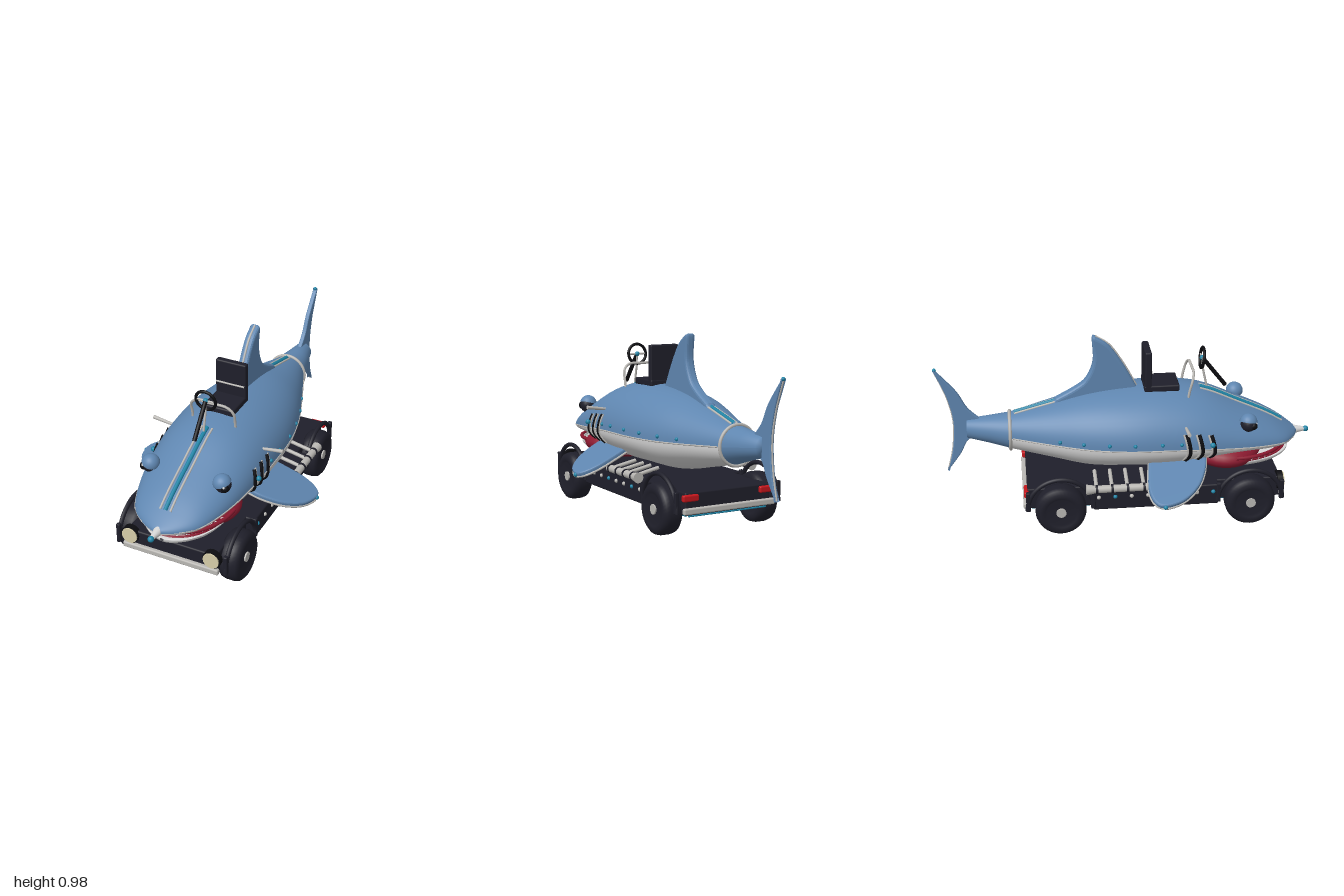
import * as THREE from 'three';
import { RoundedBoxGeometry } from 'three/addons/geometries/RoundedBoxGeometry.js';

const mat = (name, color, side = THREE.FrontSide) => {
  const m = new THREE.MeshStandardMaterial({ color, side });
  m.name = name;
  return m;
};
const V = (x, y, z) => new THREE.Vector3(x, y, z);

// body sections: z, half width, waterline y, height above, depth below
const BODY = [
  [0.93, 0.015, 0.385, 0.012, 0.012], [0.9, 0.085, 0.388, 0.03, 0.025], [0.84, 0.165, 0.395, 0.062, 0.04],
  [0.75, 0.215, 0.405, 0.105, 0.055], [0.6, 0.26, 0.42, 0.16, 0.07], [0.4, 0.288, 0.435, 0.232, 0.12],
  [0.2, 0.297, 0.445, 0.25, 0.165], [0, 0.29, 0.445, 0.245, 0.165], [-0.2, 0.25, 0.445, 0.22, 0.165],
  [-0.4, 0.18, 0.45, 0.165, 0.13], [-0.61, 0.1, 0.46, 0.1, 0.095],
];
const TAIL = [[-0.61, 0.1, 0.46, 0.1, 0.095], [-0.72, 0.074, 0.472, 0.076, 0.072],
  [-0.84, 0.048, 0.485, 0.052, 0.052], [-0.842, 0.001, 0.485, 0.001, 0.001]];
const JAW = [[0.885, 0.01, 0.315, 0.005, 0.01], [0.865, 0.07, 0.315, 0.006, 0.03], [0.82, 0.13, 0.315, 0.008, 0.042],
  [0.74, 0.18, 0.313, 0.008, 0.058], [0.62, 0.208, 0.31, 0.008, 0.064], [0.48, 0.21, 0.31, 0.01, 0.06],
  [0.36, 0.15, 0.31, 0.01, 0.04]];

// smooth interpolation between sections
function refine(secs, steps) {
  const out = [], at = (i) => secs[Math.min(secs.length - 1, Math.max(0, i))];
  for (let i = 0; i < secs.length - 1; i++)
    for (let k = 0; k < steps; k++) {
      const t = k / steps;
      out.push(at(i).map((b, c) => {
        const a = at(i - 1)[c], d = at(i + 1)[c], e = at(i + 2)[c];
        return b + 0.5 * t * (d - a + t * (2 * a - 5 * b + 4 * d - e + t * (3 * (b - d) + e - a)));
      }));
    }
  out.push(secs[secs.length - 1]);
  return out;
}
const fine = refine(BODY, 5);
function sectionAt(z) {
  let i = 0;
  while (i < fine.length - 2 && fine[i + 1][0] > z) i++;
  const t = (fine[i][0] - z) / (fine[i][0] - fine[i + 1][0]);
  return fine[i].map((v, c) => v + (fine[i + 1][c] - v) * t);
}
const ring = ([z, w, y, up, down], a) => V(w * Math.cos(a), y + (Math.sin(a) > 0 ? up : down) * Math.sin(a), z);
const skin = (z, a) => ring(sectionAt(z), a);
const topAt = (x, z, lift = 0) => {
  const p = skin(z, Math.acos(x / sectionAt(z)[1]));
  p.y += lift;
  return p;
};

function loft(secs, a0, a1, n = 28) {
  const pos = [], idx = [];
  secs.forEach((s) => {
    for (let j = 0; j <= n; j++) pos.push(...ring(s, a0 + ((a1 - a0) * j) / n).toArray());
  });
  for (let i = 0; i < secs.length - 1; i++)
    for (let j = 0; j < n; j++) {
      const a = i * (n + 1) + j, b = a + n + 1;
      idx.push(a, b, a + 1, b, b + 1, a + 1);
    }
  const g = new THREE.BufferGeometry();
  g.setAttribute('position', new THREE.Float32BufferAttribute(pos, 3));
  g.setIndex(idx);
  g.computeVertexNormals();
  return g;
}

// flat fin from a list of smooth edges, each a list of points
function finGeometry(edges, thick, bevel) {
  const shape = new THREE.Shape();
  shape.moveTo(...edges[0][0]);
  edges.forEach((e, i) => shape.splineThru((i ? e : e.slice(1)).map((p) => new THREE.Vector2(...p))));
  const depth = thick - 2 * bevel;
  return new THREE.ExtrudeGeometry(shape, { depth, bevelThickness: bevel, bevelSize: bevel, bevelOffset: -bevel, bevelSegments: 3, curveSegments: 10 })
    .translate(0, 0, -depth / 2);
}

export function createModel() {
  const root = new THREE.Group();
  root.name = 'sharkCar';
  const blue = mat('skin blue', 0x5f86b0, THREE.DoubleSide), white = mat('belly white', 0xd6d6d6);
  const dark = mat('dark trim', 0x1f1f2a), black = mat('black', 0x0c0c10), silver = mat('silver', 0xb9b7b3);
  const teal = mat('teal', 0x1e84a6), gum = mat('mouth red', 0x8c1a30), red = mat('tail light red', 0xc4161c);
  const cream = mat('lamp cream', 0xd6cda8);

  const add = (name, geo, m, x = 0, y = 0, z = 0) => {
    const o = new THREE.Mesh(geo, m);
    o.name = name;
    o.position.set(x, y, z);
    root.add(o);
    return o;
  };
  const ball = (name, r, m, x, y, z) => add(name, new THREE.SphereGeometry(r, 16, 12), m, x, y, z);
  const box = (name, w, h, d, m, x, y, z, r = 0.008) => add(name, new RoundedBoxGeometry(w, h, d, 2, r), m, x, y, z);
  const tube = (name, pts, r, m) => add(name, new THREE.TubeGeometry(new THREE.CatmullRomCurve3(pts), 28, r, 8), m);
  const rod = (name, a, b, r0, m, r1 = r0) => {
    const d = b.clone().sub(a), c = a.clone().add(b).multiplyScalar(0.5);
    const o = add(name, new THREE.CylinderGeometry(r1, r0, d.length(), 16), m, c.x, c.y, c.z);
    o.quaternion.setFromUnitVectors(V(0, 1, 0), d.normalize());
    return o;
  };
  const line = (n, f) => Array.from({ length: n }, (_, i) => f(i / (n - 1)));

  // body, tail stem and snout
  add('upperBody', loft(fine, 0, Math.PI), blue);
  add('belly', loft(fine, Math.PI, 2 * Math.PI), white);
  add('tailStem', loft(TAIL, 0, 2 * Math.PI, 40), blue);
  add('tailRing', new THREE.TorusGeometry(0.102, 0.009, 8, 40), silver, 0, 0.462, -0.615);
  rod('snout', V(0, 0.385, 0.89), V(0, 0.385, 0.98), 0.03, white, 0.01);
  ball('noseTip', 0.016, teal, 0, 0.385, 0.984);

  // mouth, jaw and teeth
  add('mouth', new THREE.SphereGeometry(1, 32, 20), gum, 0, 0.325, 0.53).scale.set(0.245, 0.088, 0.2);
  add('lowerJaw', loft(refine(JAW, 4), 0, 2 * Math.PI, 36), white);
  const mouthArc = (y, w, d) => line(17, (t) => V(w * Math.cos(t * Math.PI), y, 0.56 + d * Math.sin(t * Math.PI)));
  tube('upperGum', mouthArc(0.346, 0.232, 0.29), 0.01, gum);
  tube('lowerGum', mouthArc(0.317, 0.203, 0.3), 0.009, gum);
  for (let i = 1; i < 20; i++) {
    const a = (i / 20) * Math.PI;
    for (const [w, d, y, flip] of [[0.222, 0.28, 0.331, Math.PI], [0.195, 0.29, 0.329, 0]])
      add('tooth', new THREE.ConeGeometry(0.011, 0.03, 8), white, w * Math.cos(a), y, 0.56 + d * Math.sin(a)).rotation.x = flip;
  }

  // hood stripe and rear spine stripe
  for (const [z0, z1] of [[0.84, 0.39], [-0.3, -0.59]]) {
    tube('spineStripe', line(9, (t) => topAt(0, z0 + (z1 - z0) * t, 0.001)), 0.011, teal);
    for (const s of [-1, 1])
      tube('spineRail', line(9, (t) => topAt(s * (z0 > 0 ? 0.028 : 0.018), z0 + (z1 - z0) * t, 0.001)), 0.006, silver);
  }

  // dorsal fin
  const lead = [[0.07, 0.66], [0.045, 0.71], [-0.02, 0.83], [-0.09, 0.93], [-0.16, 0.978]];
  add('dorsalFin', finGeometry([lead, [[-0.175, 0.965], [-0.172, 0.84], [-0.21, 0.745], [-0.27, 0.695], [-0.37, 0.64]],
    [[-0.37, 0.58], [0.07, 0.6], [0.07, 0.66]]], 0.054, 0.016).rotateY(-Math.PI / 2), blue);
  tube('dorsalTrim', lead.map(([z, y]) => V(0, y, z)), 0.006, silver);

  // tail fin
  const upper = [[-0.76, 0.53], [-0.83, 0.6], [-0.885, 0.7], [-0.985, 0.82]];
  const rear = [[-0.99, 0.815], [-0.935, 0.67], [-0.908, 0.53], [-0.918, 0.38], [-0.95, 0.245]];
  const lower = [[-0.945, 0.25], [-0.88, 0.34], [-0.835, 0.42], [-0.76, 0.45]];
  add('tailFin', finGeometry([upper, rear, lower], 0.024, 0.006).rotateY(-Math.PI / 2), blue);
  tube('tailTrim', rear.map(([z, y]) => V(0, y, z)), 0.005, silver);
  ball('tailTip', 0.01, teal, 0, 0.822, -0.988);

  // seat, steering wheel and front rail
  box('seatCushion', 0.17, 0.035, 0.185, dark, 0, 0.7, 0.182);
  box('seatBack', 0.17, 0.215, 0.035, dark, 0, 0.797, 0.11);
  tube('seatBar', [V(-0.08, 0.78, 0.13), V(0, 0.78, 0.131), V(0.08, 0.78, 0.13)], 0.005, silver);
  rod('steeringColumn', V(0, 0.67, 0.53), V(0, 0.83, 0.405), 0.011, black);
  add('steeringWheel', new THREE.TorusGeometry(0.054, 0.008, 10, 32), black, 0, 0.832, 0.402).rotation.x = 0.12;
  rod('wheelSpoke', V(-0.05, 0.832, 0.402), V(0.05, 0.832, 0.402), 0.005, silver);
  rod('wheelSpoke', V(0, 0.832, 0.402), V(0, 0.78, 0.408), 0.005, silver);
  ball('steeringHub', 0.013, teal, 0, 0.832, 0.402);
  rod('columnBrace', V(0, 0.67, 0.43), V(0, 0.78, 0.405), 0.006, silver);
  tube('gripRail', [V(-0.12, 0.61, 0.31), V(-0.12, 0.69, 0.32), V(-0.118, 0.75, 0.335), V(-0.085, 0.783, 0.345), V(0, 0.785, 0.347),
    V(0.085, 0.783, 0.345), V(0.118, 0.75, 0.335), V(0.12, 0.69, 0.32), V(0.12, 0.61, 0.31)], 0.007, silver);

  // chassis and bumpers
  box('chassis', 0.5, 0.115, 1.34, dark, 0, 0.178, 0.13);
  box('chassisMiddle', 0.6, 0.115, 0.66, dark, 0, 0.178, 0.13);
  for (const [name, z] of [['frontBumper', 0.807], ['rearBumper', -0.55]]) box(name, 0.535, 0.032, 0.026, silver, 0, 0.145, z);
  for (const z of [0.795, -0.535]) box('underglow', 0.46, 0.008, 0.01, teal, 0, 0.117, z, 0.003);

  const tyre = new THREE.LatheGeometry([[0, -0.045], [0.075, -0.045], [0.085, -0.055], [0.11, -0.055], [0.127, -0.042], [0.133, -0.02],
    [0.133, 0.02], [0.127, 0.042], [0.11, 0.055], [0.085, 0.055], [0.075, 0.045], [0, 0.045]].map((p) => new THREE.Vector2(...p)), 40).rotateZ(Math.PI / 2);

  for (const s of [-1, 1]) {
    // wheels, fenders
    for (const z of [0.627, -0.37]) {
      add('wheel', tyre, dark, s * 0.285, 0.133, z);
      rod('hubCap', V(s * 0.325, 0.133, z), V(s * 0.338, 0.133, z), 0.026, silver);
      add('fender', new THREE.TorusGeometry(0.172, 0.012, 8, 32, Math.PI).rotateY(Math.PI / 2), dark, s * 0.3, 0.138, z);
      for (const e of [-1, 1]) box('fenderStay', 0.022, 0.11, 0.022, dark, s * 0.3, 0.19, z + e * 0.168, 0.005);
    }
    box('underglow', 0.01, 0.008, 1.3, teal, s * 0.233, 0.117, 0.13, 0.003);
    // lamps
    rod('headlightRim', V(s * 0.228, 0.207, 0.78), V(s * 0.228, 0.207, 0.81), 0.049, black);
    rod('headlight', V(s * 0.228, 0.207, 0.8), V(s * 0.228, 0.207, 0.817), 0.043, cream);
    box('tailLight', 0.09, 0.034, 0.026, red, s * 0.225, 0.21, -0.545);

    // eyes with lids
    const ex = s * 0.203, ey = 0.533, ez = 0.622;
    ball('eye', 0.042, dark, ex, ey, ez);
    ball('pupil', 0.022, black, ex + s * 0.02, ey - 0.003, ez + 0.022);
    ball('eyeGlint', 0.007, white, ex + s * 0.021, ey + 0.008, ez + 0.036);
    add('eyelid', new THREE.SphereGeometry(0.047, 24, 10, 0, 2 * Math.PI, 0, Math.PI / 2), blue, ex - s * 0.005, ey + 0.008, ez).rotation.set(0.15, 0, s * 0.3);

    // gills, side lamps and body rivets
    const ang = (a) => (s > 0 ? a : Math.PI - a);
    for (const z of [0.425, 0.36, 0.295]) {
      const arc = (dz) => line(7, (t) => skin(z + dz + 0.02 * Math.sin(t * Math.PI) - 0.01, ang(-0.5 + 0.85 * t)));
      tube('gill', arc(0), 0.011, black);
      tube('gillTrim', arc(-0.013), 0.006, silver);
    }
    ball('sideLamp', 0.014, teal, s * 0.3, 0.468, 0.42);
    for (const z of [0.26, 0.16, 0.02, -0.11, -0.24, -0.36]) {
      const p = skin(z, ang(0.13));
      ball('bodyRivet', 0.01, teal, p.x, p.y, p.z);
    }
    tube('waterlineTrim', line(24, (t) => skin(0.89 - 1.49 * t, ang(0))), 0.004, silver);
    for (let i = 0; i < 8; i++) ball('chassisRivet', 0.011, i % 3 ? silver : teal, s * 0.3, 0.195, 0.43 - i * 0.086);
    rod('sideRod', V(s * 0.24, 0.55, 0.285), V(s * 0.37, 0.568, 0.285), 0.007, silver, 0.01);

    // side fins
    const fin = [[-0.06, 0.1], [0.04, 0.085], [0.15, 0.077], [0.23, 0.1], [0.257, 0.15], [0.225, 0.25], [0.14, 0.335], [0.03, 0.385], [-0.06, 0.4]];
    const side = new THREE.Group();
    side.name = 'sideFin';
    side.position.set(s * 0.27, 0.337, 0);
    side.rotation.z = -s * 0.4;
    const plate = add('finPlate', finGeometry([fin.map(([x, z]) => [s * x, z])], 0.03, 0.01).rotateX(Math.PI / 2), blue);
    const trim = tube('finTrim', fin.map(([x, z]) => V(s * x, -0.011, z)), 0.006, silver);
    side.add(plate, trim, ball('finTip', 0.012, teal, s * 0.257, 0, 0.15));
    root.add(side);

    // exhaust pipes
    rod('exhaustPipe', V(s * 0.345, 0.27, 0.08), V(s * 0.345, 0.27, -0.2), 0.02, silver);
    rod('exhaustFlare', V(s * 0.345, 0.27, -0.19), V(s * 0.345, 0.27, -0.24), 0.02, silver, 0.028);
    for (const z of [0.065, -0.02, -0.1, -0.18]) {
      rod('exhaustBand', V(s * 0.345, 0.27, z), V(s * 0.345, 0.27, z - 0.012), 0.023, dark);
      rod('exhaustHeader', V(s * 0.2, 0.3, z - 0.006), V(s * 0.345, 0.27, z - 0.006), 0.01, silver);
    }
  }
  return root;
}
